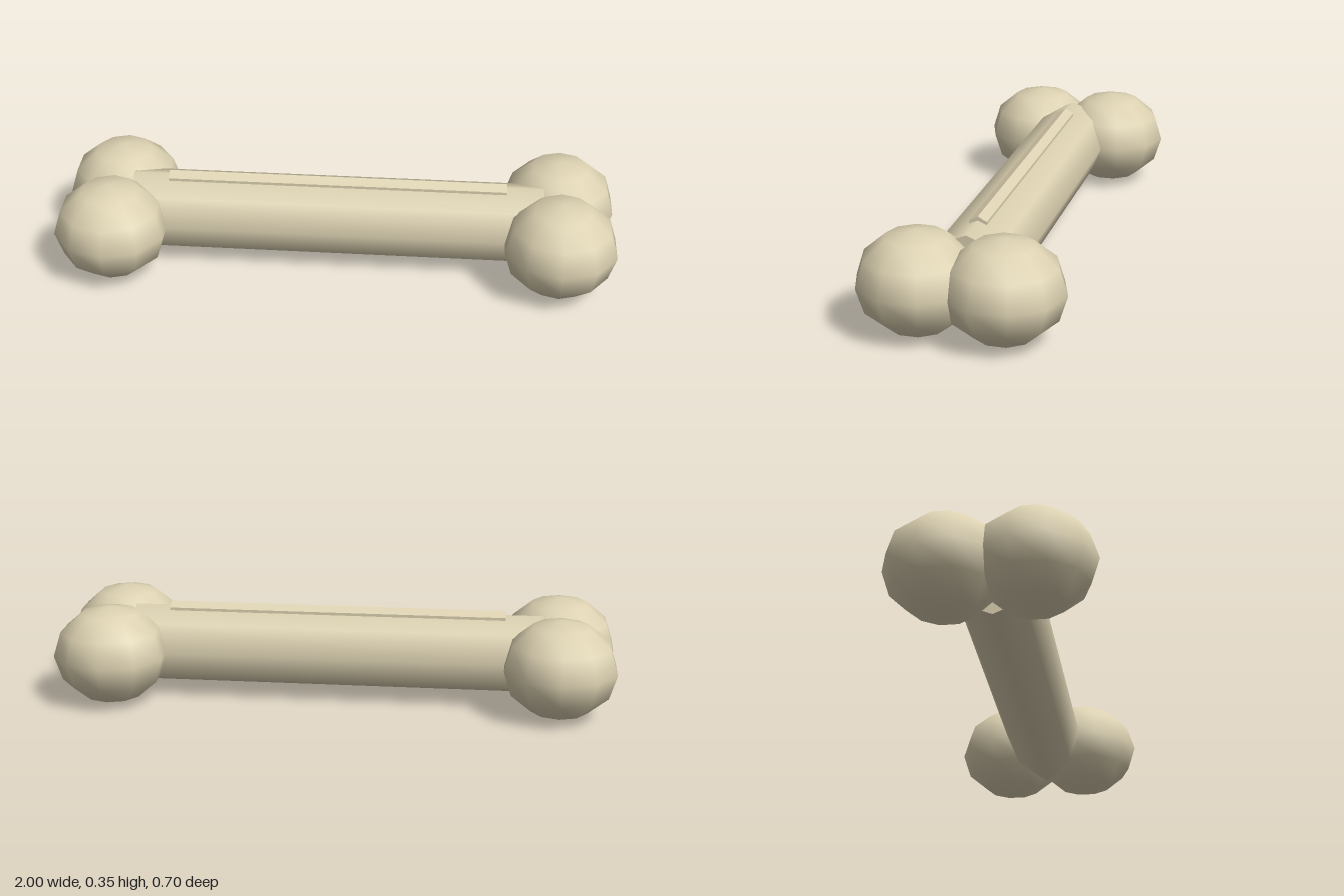
import * as THREE from 'three';

const CENTER_Y = 0.178;

export function createModel() {
  const group = new THREE.Group();
  group.name = 'bone';
  const ivory = new THREE.MeshStandardMaterial({ color: 0xddd2b2 });
  ivory.name = 'ivory';

  const add = (name, geometry, x, y, z) => {
    const mesh = new THREE.Mesh(geometry, ivory);
    mesh.name = name;
    mesh.position.set(x, y, z);
    group.add(mesh);
  };

  // A bar lying along x, with one corner pointing up
  const bar = (radius, length, sides) =>
    new THREE.CylinderGeometry(radius, radius, length, sides).rotateY(Math.PI / 2).rotateZ(Math.PI / 2);

  // Smooth eight-sided shaft
  add('shaft', bar(0.144, 1.48, 8), 0, CENTER_Y + 0.001, 0);

  // Narrow faceted ridge along the top of the shaft
  const ridge = bar(0.035, 1.214, 6).toNonIndexed();
  ridge.computeVertexNormals();
  add('ridge', ridge, 0, 0.303, 0);

  // Two slightly flattened knobs at each end
  const knob = new THREE.SphereGeometry(0.207, 10, 6).rotateY(Math.PI / 2).scale(1, 0.855, 1);
  for (const x of [1, -1]) {
    for (const z of [1, -1]) {
      add(`${x > 0 ? 'left' : 'right'}${z > 0 ? 'Front' : 'Back'}Knob`, knob, x * 0.803, CENTER_Y, z * 0.145);
    }
  }
  return group;
}
